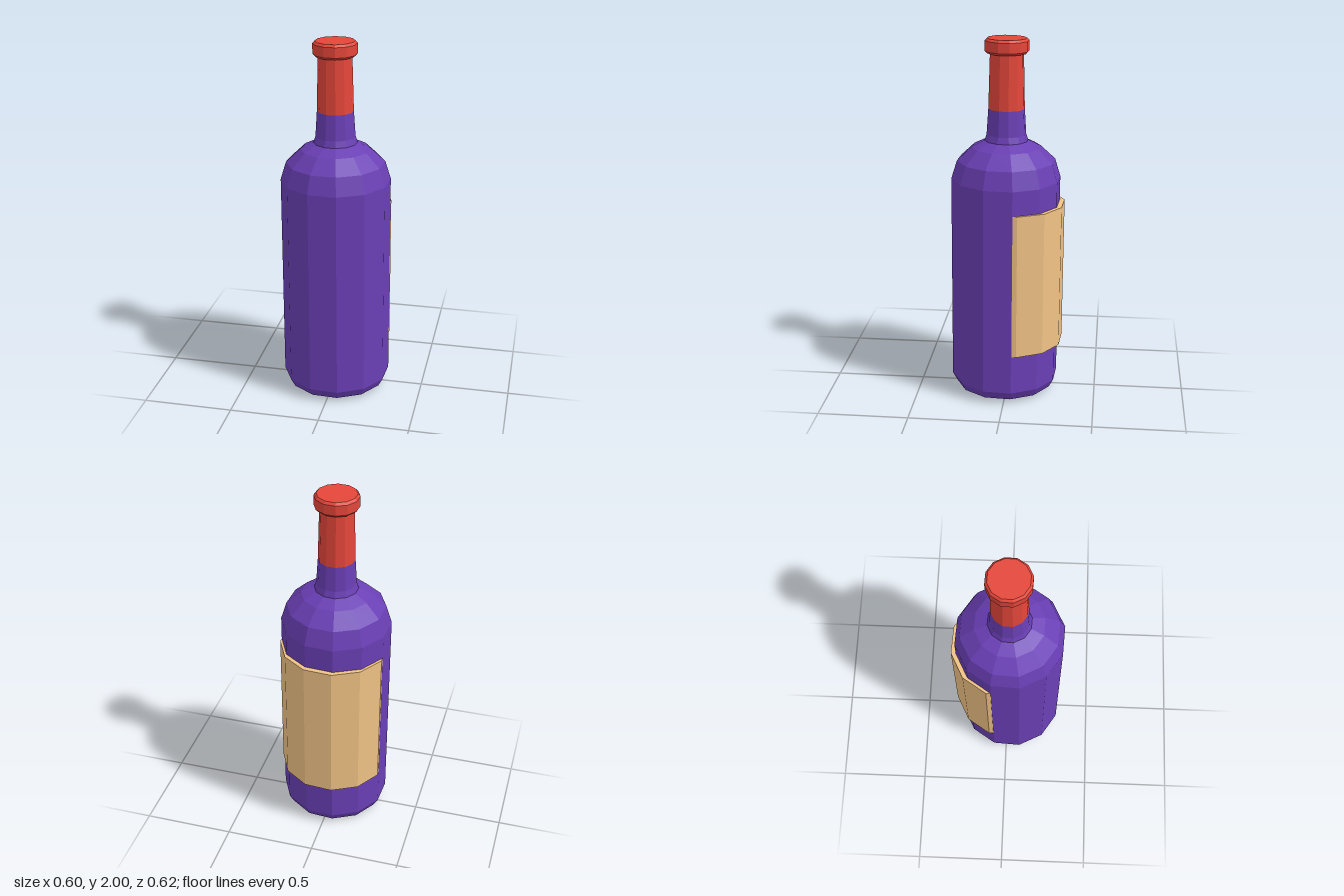
import * as THREE from 'three';

const SIDES = 12;
const TURN = THREE.MathUtils.degToRad(12);

const mat = (color) => new THREE.MeshStandardMaterial({ color, flatShading: true });

// Faceted part turned from a [radius, height] profile, listed bottom to top
function turned(name, profile, material) {
  const points = profile.map(([r, y]) => new THREE.Vector2(r, y));
  const mesh = new THREE.Mesh(new THREE.LatheGeometry(points, SIDES, TURN), material);
  mesh.name = name;
  return mesh;
}

// Paper label: five facets of the body, pushed backwards
function makeLabel(material) {
  const arc = (radius, shift) => Array.from({ length: 6 }, (_, i) => {
    const a = TURN + (i + 3) * Math.PI / 6;
    return new THREE.Vector2(radius * Math.sin(a), -radius * Math.cos(a) + shift);
  });
  const shape = new THREE.Shape([...arc(0.301, 0.027), ...arc(0.3, 0).reverse()]);
  const geo = new THREE.ExtrudeGeometry(shape, { depth: 0.81, bevelEnabled: false });
  geo.rotateX(-Math.PI / 2);
  const mesh = new THREE.Mesh(geo, material);
  mesh.name = 'label';
  mesh.position.y = 0.29;
  return mesh;
}

export function createModel() {
  const bottle = new THREE.Group();
  bottle.name = 'bottle';

  // Glass body with a hollowed base, round shoulder and lower neck
  bottle.add(turned('glassBody', [
    [0, 0.06], [0.12, 0.045], [0.215, 0.003], [0.235, 0.003], [0.275, 0.022], [0.301, 0.07],
    [0.301, 1.235], [0.27, 1.335], [0.19, 1.41], [0.119, 1.445],
    [0.108, 1.48], [0.099, 1.62],
  ], mat(0x6a3fb5)));

  // Foil sleeve and lip
  bottle.add(turned('foilCap', [
    [0.099, 1.62], [0.091, 1.918], [0.108, 1.918], [0.119, 1.93],
    [0.119, 1.985], [0.107, 1.998], [0, 1.998],
  ], mat(0xe4463a)));

  bottle.add(makeLabel(mat(0xf0c285)));

  // Very slight lean
  bottle.rotation.set(-0.0065, 0, 0.0065);
  bottle.position.set(0.004, 0, 0.02);

  const model = new THREE.Group();
  model.name = 'model';
  model.add(bottle);
  return model;
}
